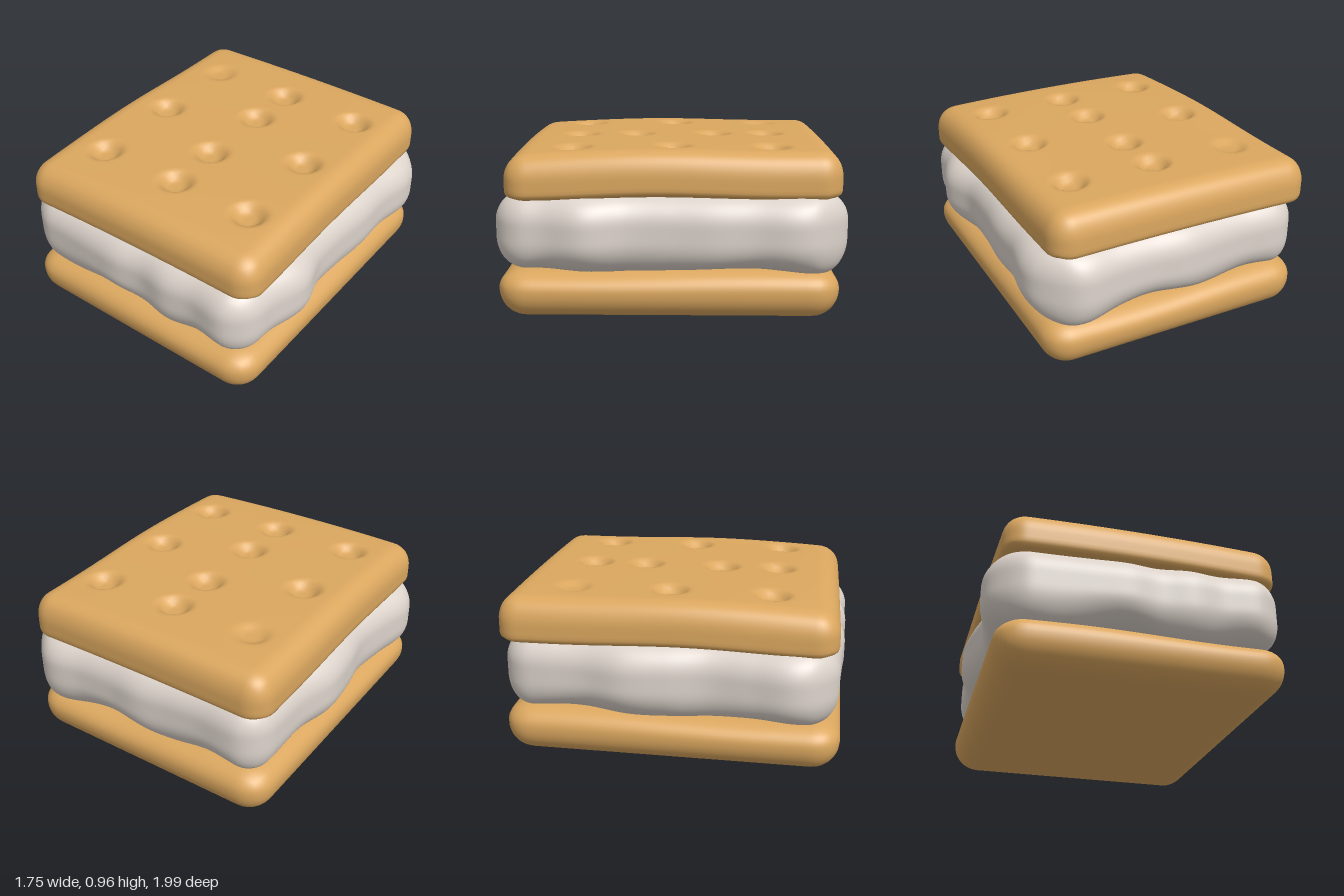
import * as THREE from 'three';
import { mergeVertices } from 'three/addons/utils/BufferGeometryUtils.js';

const biscuitMat = new THREE.MeshStandardMaterial({ color: 0xdba75f });
biscuitMat.name = 'golden biscuit';
const fillingMat = new THREE.MeshStandardMaterial({ color: 0xdcd3cb });
fillingMat.name = 'soft marshmallow';

const clamp = THREE.MathUtils.clamp;
const smooth = THREE.MathUtils.smoothstep;

// Smooth value along evenly spaced samples spanning -1..1
function profile(values) {
  const curve = new THREE.SplineCurve(values.map((v, i) => new THREE.Vector2(i, v)));
  return t => curve.getPoint(clamp((t + 1) / 2, 0, 1)).y;
}

// Pillow-edged slab standing on y0..y1, then reshaped by deform(p)
function slab(name, material, { hx, hz, y0, y1, r, rTop, rBottom, segs }, deform) {
  let geo = new THREE.BoxGeometry(hx * 2, y1 - y0, hz * 2, ...segs);
  geo.translate(0, (y0 + y1) / 2, 0);
  geo.deleteAttribute('uv');
  geo.deleteAttribute('normal');
  geo = mergeVertices(geo, 1e-4);
  const pos = geo.attributes.position;
  const p = new THREE.Vector3(), c = new THREE.Vector3(), d = new THREE.Vector3();
  for (let i = 0; i < pos.count; i++) {
    p.fromBufferAttribute(pos, i);
    c.set(clamp(p.x, r - hx, hx - r), clamp(p.y, y0 + rBottom, y1 - rTop), clamp(p.z, r - hz, hz - r));
    const ry = p.y > c.y ? rTop : rBottom;
    d.subVectors(p, c).divide(new THREE.Vector3(r, ry, r)).normalize();
    p.set(c.x + d.x * r, c.y + d.y * ry, c.z + d.z * r);
    deform(p);
    pos.setXYZ(i, p.x, p.y, p.z);
  }
  geo.computeVertexNormals();
  const mesh = new THREE.Mesh(geo, material);
  mesh.name = name;
  return mesh;
}

// Dimple centres (x, z) on the top biscuit
const dimples = [
  [-0.5, -0.56], [0.02, -0.56], [0.53, -0.56], [0.02, -0.24], [-0.5, 0],
  [0.52, 0], [0.02, 0.23], [-0.5, 0.57], [0.03, 0.57], [0.53, 0.57],
];

function dimpleDepth(x, z) {
  let depth = 0;
  for (const [cx, cz] of dimples) {
    const dx = x - cx, dz = z - cz;
    const shallow = cx < 0 && cz < -0.3 ? 0.5 : 1;
    depth += 0.05 * shallow * (1 - smooth(Math.hypot(dx, dz), 0.045, 0.115));
  }
  return depth;
}

// Bulges of the filling along its four sides
const rightSide = profile([0.83, 0.88, 0.85, 0.85, 0.83, 0.83, 0.89, 0.83, 0.82]);
const leftSide = profile([0.78, 0.79, 0.80, 0.85, 0.83, 0.79, 0.82, 0.86, 0.78]);
const frontSide = profile([0.95, 0.955, 0.96, 0.97, 0.98, 0.96, 0.985, 0.965, 0.985, 0.96]);
const backSide = profile([0.94, 0.95, 0.94, 0.955, 0.98, 0.965, 0.97, 1.0, 0.93]);

export function createModel() {
  const group = new THREE.Group();
  group.name = 'biscuitSandwich';

  group.add(slab('bottomBiscuit', biscuitMat, {
    hx: 0.815, hz: 0.965, y0: 0, y1: 0.28, r: 0.16, rTop: 0.11, rBottom: 0.16, segs: [40, 14, 48],
  }, p => {
    p.x += 0.012;
    p.z += 0.01;
    // slightly uneven upper rim
    p.y += 0.008 * smooth(p.y, 0.1, 0.28) * Math.sin(4 * p.x + 3 * p.z);
  }));

  group.add(slab('marshmallowFilling', fillingMat, {
    hx: 0.81, hz: 0.95, y0: 0.265, y1: 0.72, r: 0.17, rTop: 0.17, rBottom: 0.19, segs: [54, 20, 62],
  }, p => {
    const u = p.x / 0.81, v = p.z / 0.95;
    p.x = u * (u > 0 ? rightSide(v) : leftSide(v));
    p.z = v * (v > 0 ? frontSide(u) : backSide(u));
    // sagging, wavy lower rim
    const rim = smooth(Math.max(Math.abs(u), Math.abs(v)), 0.6, 0.95);
    const low = 1 - smooth(p.y, 0.26, 0.55);
    const corner = Math.abs(u * v);
    p.y += rim * low * (0.02 * Math.sin(7 * u + 5 * v + 4.4) + 0.015 - 0.035 * corner);
  }));

  group.add(slab('topBiscuit', biscuitMat, {
    hx: 0.80, hz: 0.945, y0: 0.705, y1: 0.955, r: 0.13, rTop: 0.12, rBottom: 0.06, segs: [72, 12, 84],
  }, p => {
    const u = p.x / 0.8, v = p.z / 0.945;
    const top = smooth(p.y, 0.8, 0.95);
    p.y -= top * dimpleDepth(p.x, p.z);
    // edges droop over the filling, most at the corners and the front
    p.y -= (1 - top) * 0.03 * Math.max(u ** 6, v ** 6);
    p.y -= 0.015 * u * u * v * v + top * 0.02 * Math.max(0, v) ** 5;
    p.y += 0.006 * Math.sin(5 * p.z + 1) * u * u;
    p.x += 0.018 * p.z + 0.003;
    p.z += -0.012 - 0.012 * u * Math.max(0, v);
  }));

  return group;
}
